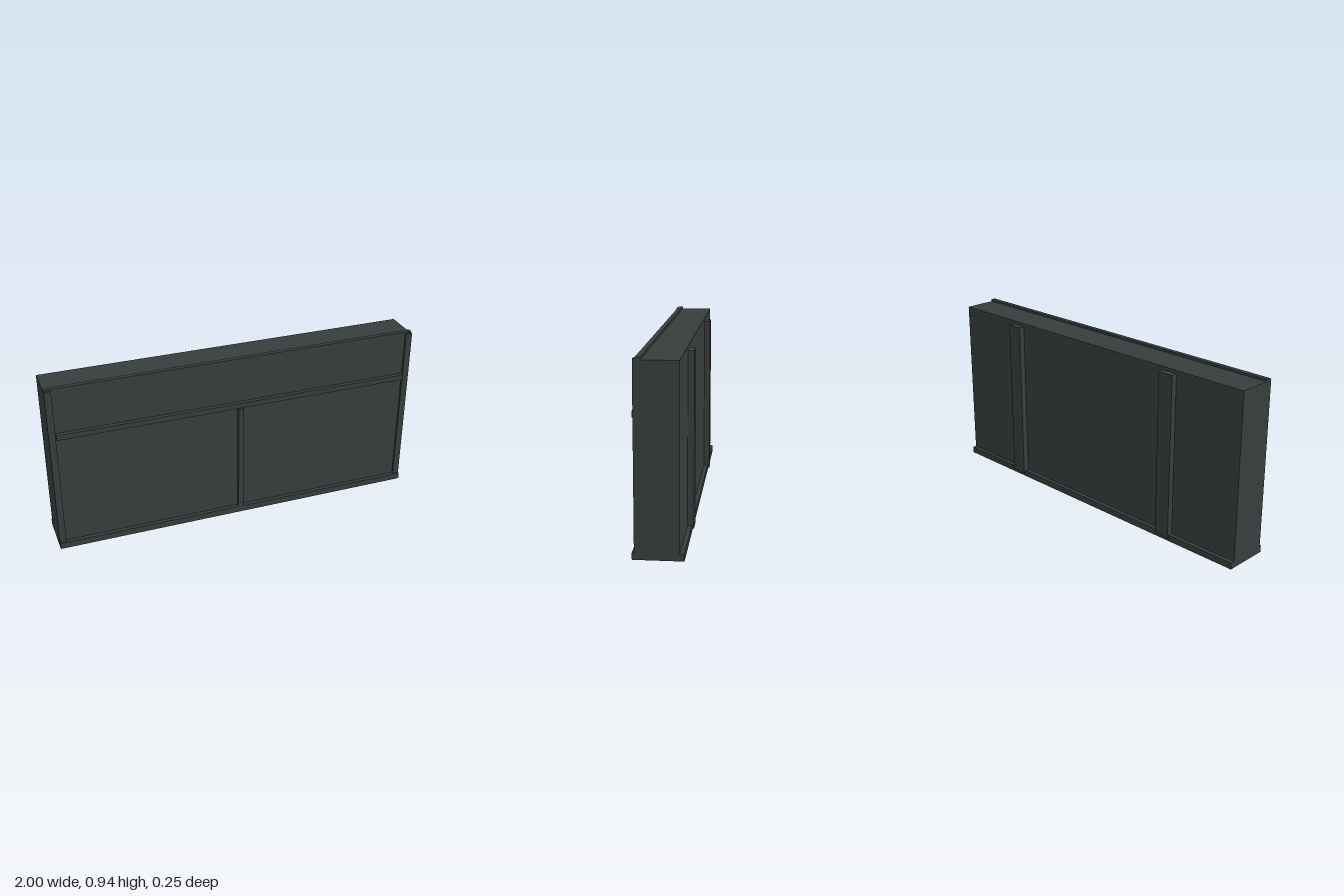
import * as THREE from 'three';

export function createModel() {
  const group = new THREE.Group();
  const slate = new THREE.MeshStandardMaterial({ color: 0x373d3d });
  slate.name = 'dark slate';

  // Box given by its limits on each axis
  function box(name, [x0, x1], [y0, y1], [z0, z1]) {
    const mesh = new THREE.Mesh(new THREE.BoxGeometry(x1 - x0, y1 - y0, z1 - z0), slate);
    mesh.name = name;
    mesh.position.set((x0 + x1) / 2, (y0 + y1) / 2, (z0 + z1) / 2);
    group.add(mesh);
  }

  // Wall core, base plinth and top capping strip
  box('wallBody', [-1, 1], [0.035, 0.925], [-0.094, 0.104]);
  box('basePlinth', [-1, 1], [0, 0.035], [-0.116, 0.126]);
  box('topStrip', [-1, 1], [0.925, 0.937], [0.079, 0.104]);

  // Front trim: horizontal rail and central mullion
  box('frontRail', [-0.963, 0.963], [0.659, 0.688], [0.104, 0.126]);
  box('frontMullion', [0, 0.028], [0.035, 0.65], [0.104, 0.126]);

  // Mirrored edge stiles on the front and battens on the back
  for (const [side, s] of [['left', 1], ['right', -1]]) {
    const span = (a, b) => (s > 0 ? [a, b] : [-b, -a]);
    box(side + 'Stile', span(0.965, 1), [0.035, 0.93], [0.104, 0.116]);
    box(side + 'BackBatten', span(0.512, 0.598), [0.02, 0.907], [-0.126, -0.094]);
  }
  return group;
}
